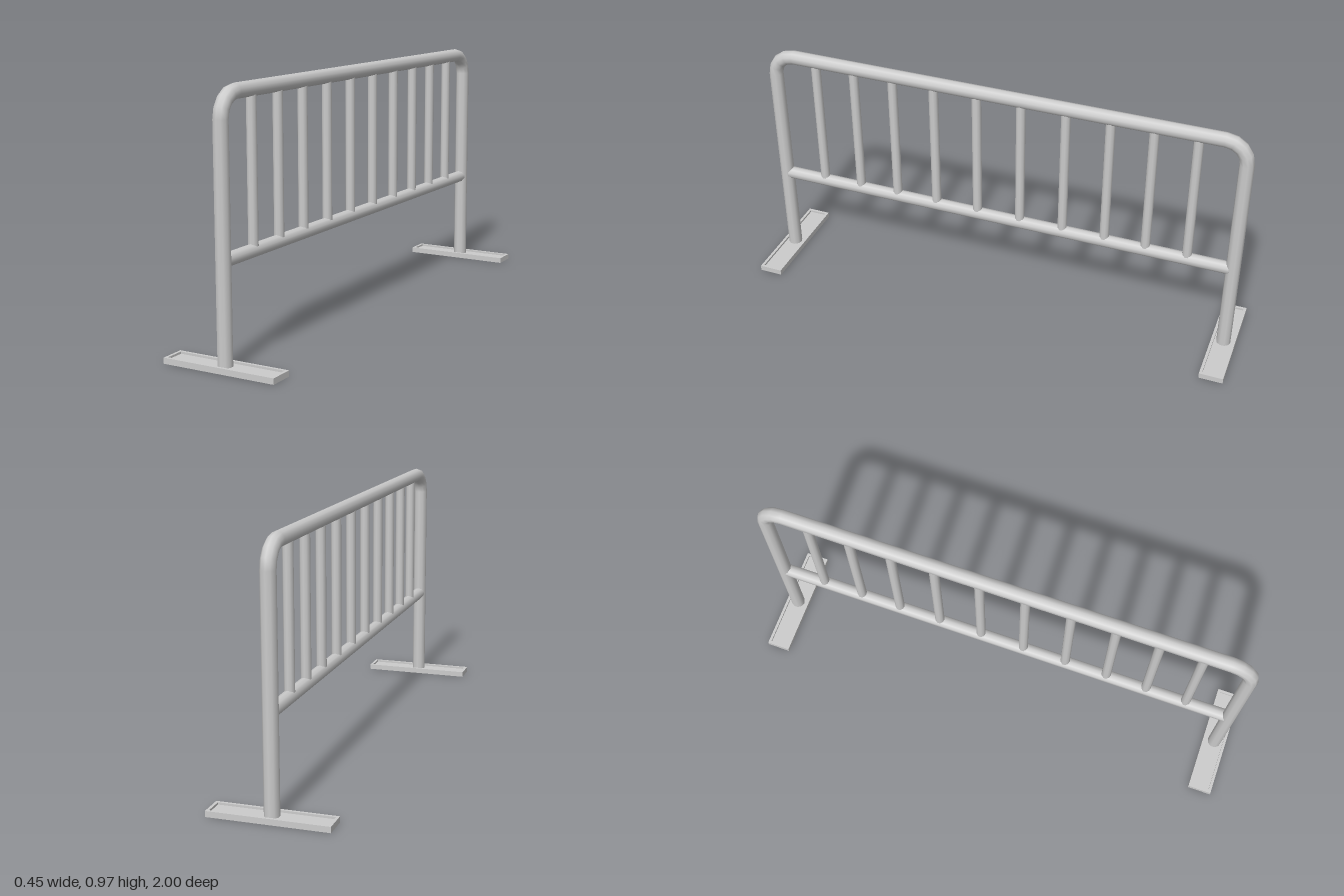
import * as THREE from 'three';

const SIDES = 10;
const LEG_Z = 0.953, TOP_Y = 0.942, PIPE_R = 0.028, BEND_R = 0.085;
const FOOT_W = 0.45, FOOT_D = 0.095, FLOOR_H = 0.014, FOOT_H = 0.022, RIM = 0.011;

export function createModel() {
  const group = new THREE.Group();
  const material = new THREE.MeshStandardMaterial({ color: 0xcccccc });

  const add = (name, geometry, x = 0, y = 0, z = 0) => {
    const mesh = new THREE.Mesh(geometry, material);
    mesh.name = name;
    mesh.position.set(x, y, z);
    group.add(mesh);
  };
  // Upright pipe between two heights
  const post = (name, r, y0, y1, z, open) =>
    add(name, new THREE.CylinderGeometry(r, r, y1 - y0, SIDES, 1, open), 0, (y0 + y1) / 2, z);
  // Horizontal pipe along z, centred
  const rail = (name, r, length, y, open) =>
    add(name, new THREE.CylinderGeometry(r, r, length, SIDES, 1, open).rotateX(Math.PI / 2), 0, y, 0);

  // Raised rim around a foot plate
  const rectangle = (path, w, d) => path
    .moveTo(-w / 2, -d / 2).lineTo(w / 2, -d / 2)
    .lineTo(w / 2, d / 2).lineTo(-w / 2, d / 2).closePath();
  const rimShape = rectangle(new THREE.Shape(), FOOT_W, FOOT_D);
  rimShape.holes.push(rectangle(new THREE.Path(), FOOT_W - 2 * RIM, FOOT_D - 2 * RIM));
  const rimGeometry = new THREE.ExtrudeGeometry(rimShape, { depth: FOOT_H, bevelEnabled: false })
    .rotateX(-Math.PI / 2);

  // Legs, bends and feet at both ends
  for (const side of [1, -1]) {
    const end = side > 0 ? 'front' : 'back';
    const z = side * LEG_Z;
    post(end + 'Leg', PIPE_R, FLOOR_H, TOP_Y - BEND_R, z, true);
    add(end + 'Bend',
      new THREE.TorusGeometry(BEND_R, PIPE_R, SIDES, 4, Math.PI / 2).rotateY(-side * Math.PI / 2),
      0, TOP_Y - BEND_R, side * (LEG_Z - BEND_R));
    add(end + 'FootPlate',
      new THREE.BoxGeometry(FOOT_W - 2 * RIM, FLOOR_H, FOOT_D - 2 * RIM), 0, FLOOR_H / 2, z);
    add(end + 'FootRim', rimGeometry, 0, 0, z);
  }

  // Top and lower rails
  rail('topRail', PIPE_R, 2 * (LEG_Z - BEND_R), TOP_Y, true);
  rail('lowerRail', 0.025, 1.88, 0.38, false);

  // Infill bars, mirrored about the middle
  for (const z of [0.09, 0.268, 0.441, 0.607, 0.772])
    for (const side of [1, -1]) post('infillBar', 0.019, 0.39, 0.93, side * z, true);

  return group;
}
